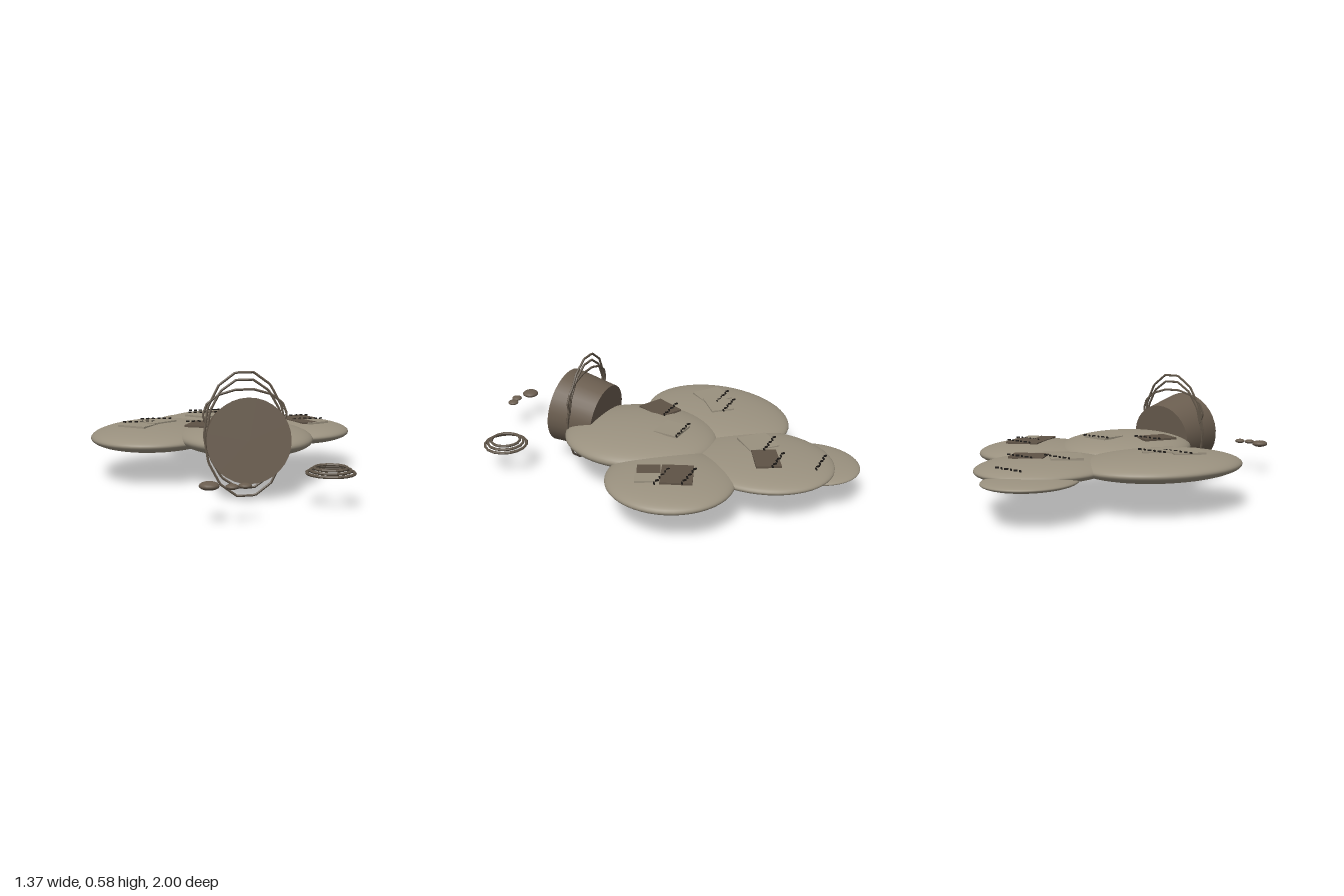
import * as THREE from 'three';

const mat = (name, color, extra = {}) => {
  const m = new THREE.MeshStandardMaterial({ color, ...extra });
  m.name = name;
  return m;
};

export function createModel() {
  const model = new THREE.Group();
  model.name = 'deflatedSack';
  const cloth = mat('paleCloth', 0x9a917f);
  const dark = mat('darkPatch', 0x5f5346);
  const wood = mat('brownDrum', 0x6a5d4f);
  const hoopMat = mat('hoopBrown', 0x62574a, { flatShading: true });
  const thread = mat('blackThread', 0x1c1916);

  const add = (name, geo, material, pos, parent = model) => {
    const mesh = new THREE.Mesh(geo, material);
    mesh.name = name;
    mesh.position.set(...pos);
    parent.add(mesh);
    return mesh;
  };

  // Flattened cloth lobes: name, centre, half sizes, yaw
  const sphere = new THREE.SphereGeometry(1, 48, 32);
  const lobes = [
    ['frontLobe', [0.065, 0.225, 0.08], [0.33, 0.078, 0.387], 0.25],
    ['rightLobe', [-0.345, 0.21, -0.165], [0.327, 0.065, 0.411], -0.39],
    ['leftLobe', [0.38, 0.206, -0.228], [0.3, 0.058, 0.308], 0.1],
    ['backLobe', [0.025, 0.207, -0.55], [0.305, 0.053, 0.355], 0],
    ['tailLobe', [-0.09, 0.187, -0.77], [0.205, 0.03, 0.23], 0],
  ];
  for (const [name, pos, size, yaw] of lobes) {
    const lobe = add(name, sphere, cloth, pos);
    lobe.scale.set(...size);
    lobe.rotation.y = yaw;
  }

  // A zigzag row of short stitches
  const stitchGeo = new THREE.BoxGeometry(0.017, 0.007, 0.007);
  const stitchRow = (x, y, z) => {
    const row = new THREE.Group();
    row.name = 'stitchRow';
    row.position.set(x, y, z);
    for (let i = 0; i < 6; i++) {
      const s = add('stitch', stitchGeo, thread, [(i - 2.5) * 0.029, 0, 0], row);
      s.rotation.y = i % 2 ? 0.6 : -0.6;
    }
    model.add(row);
  };

  // Sewn patches: x, y, z, width, depth, yaw, material
  const patches = [
    [-0.135, 0.292, 0.07, 0.14, 0.17, -0.45, dark],
    [0.065, 0.297, -0.09, 0.14, 0.13, -0.08, cloth],
    [0.09, 0.26, -0.595, 0.165, 0.12, 0.51, dark],
    [-0.055, 0.259, -0.5, 0.155, 0.15, -0.75, cloth],
    [-0.44, 0.272, -0.095, 0.155, 0.155, -0.65, cloth],
    [-0.345, 0.276, -0.17, 0.165, 0.12, 0.7, cloth],
    [0.415, 0.262, -0.28, 0.17, 0.15, 0.37, dark],
    [0.465, 0.259, -0.165, 0.13, 0.14, 0.45, cloth],
  ];
  for (const [x, y, z, w, d, yaw, material] of patches) {
    const p = add('patch', new THREE.BoxGeometry(w, 0.01, d), material, [x, y, z]);
    p.rotation.y = yaw;
    stitchRow(x, y + 0.008, z - 0.058);
  }
  stitchRow(-0.02, 0.242, -0.83);
  // Loose dark scrap under the left patch
  add('patchScrap', new THREE.BoxGeometry(0.08, 0.008, 0.11), dark, [0.425, 0.262, -0.14]).rotation.y = 0.45;

  // Tapered drum in the mouth, tipped slightly upwards
  const drum = add('drum', new THREE.CylinderGeometry(0.194, 0.171, 0.234, 32), wood, [0.008, 0.269, 0.429]);
  drum.rotation.x = Math.PI / 2 - 0.12;

  // Oval hoops round the drum: centre height, half width, half height
  const hoops = [[0.295, 0.197, 0.294], [0.297, 0.185, 0.257], [0.386, 0.202, 0.12]];
  for (const [y, rx, ry] of hoops) {
    const pts = [];
    for (let i = 0; i < 14; i++) {
      const a = ((i + 0.5) / 14) * Math.PI * 2;
      pts.push(new THREE.Vector3((rx - 0.006) * Math.sin(a), (ry - 0.003) * Math.cos(a), 0));
    }
    const path = new THREE.CurvePath();
    pts.forEach((p, i) => path.add(new THREE.LineCurve3(p, pts[(i + 1) % 14])));
    const hoop = add('mouthHoop', new THREE.TubeGeometry(path, 84, 0.006, 5, true), hoopMat,
      [0.01, y, 0.45 - y * 0.076]);
    hoop.rotation.x = -0.076;
  }

  // Stack of fallen rings
  [[0.106, 0.162], [0.09, 0.173], [0.073, 0.184]].forEach(([r, y]) => {
    const ring = add('fallenRing', new THREE.TorusGeometry(r, 0.007, 6, 16), hoopMat, [0.338, y, 0.718]);
    ring.rotation.x = Math.PI / 2;
  });

  // Loose pebbles
  const pebbles = [[-0.228, 0.935, 0.043, 0.018], [-0.14, 0.968, 0.027, 0.012], [-0.084, 0.955, 0.028, 0.012]];
  for (const [x, z, r, h] of pebbles) {
    add('pebble', new THREE.SphereGeometry(1, 16, 10), wood, [x, 0.17, z]).scale.set(r, h, r);
  }
  return model;
}
